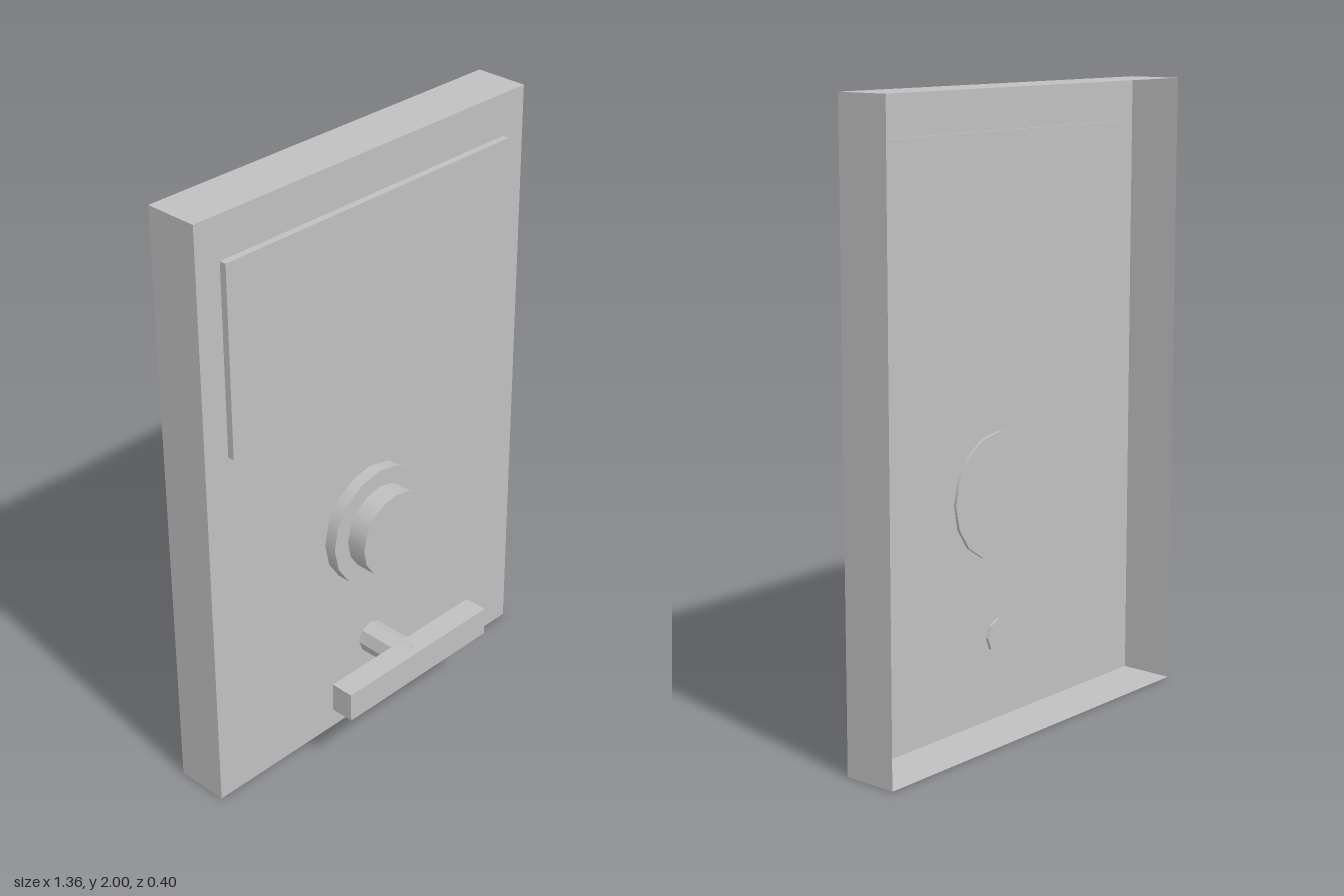
import * as THREE from 'three';

const PANEL_Z = -0.02; // front sheet of the casing
const BACK_Z = -0.2;   // open rear rim
const INNER_Z = -0.03; // where fittings end just behind the sheet

export function createModel() {
  const group = new THREE.Group();
  const grey = new THREE.MeshStandardMaterial({ color: 0xc0c0c0, side: THREE.DoubleSide });
  grey.name = 'grey';
  const facetedGrey = grey;

  const add = (name, geometry, x, y, z) => {
    const mesh = new THREE.Mesh(geometry, facetedGrey);
    mesh.name = name;
    mesh.position.set(x, y, z);
    group.add(mesh);
    return mesh;
  };

  // Box given by its width, height, centre height and z range
  const box = (name, w, h, y, z0, z1) =>
    add(name, new THREE.BoxGeometry(w, h, z1 - z0), 0, y, (z0 + z1) / 2);

  // Cylinder pointing forwards, given by radius, centre height and z range
  const disc = (name, r, y, z0, z1, sides, flat = false) => {
    let geometry = new THREE.CylinderGeometry(r, r, z1 - z0, sides).rotateX(Math.PI / 2);
    if (flat) {
      geometry = geometry.toNonIndexed();
      geometry.computeVertexNormals();
    }
    return add(name, geometry, 0, y, (z0 + z1) / 2);
  };

  // Casing: thin box without its rear face
  const casing = box('casing', 1.36, 2, 1, BACK_Z, PANEL_Z);
  const shell = casing.geometry;
  shell.setIndex(Array.from(shell.index.array).slice(0, 30));
  shell.clearGroups();

  // Raised display panel
  box('displayPanel', 1.18, 0.63, 1.545, INNER_Z, 0.003);

  // Stepped dial
  disc('dialBase', 0.203, 0.73, INNER_Z, 0.022, 16);
  disc('dialKnob', 0.144, 0.73, 0.022, 0.092, 16);

  // T-shaped handle
  disc('handleStem', 0.054, 0.275, INNER_Z, 0.166, 8, true);
  box('handleBar', 0.634, 0.1, 0.275, 0.12, 0.2);

  return group;
}
